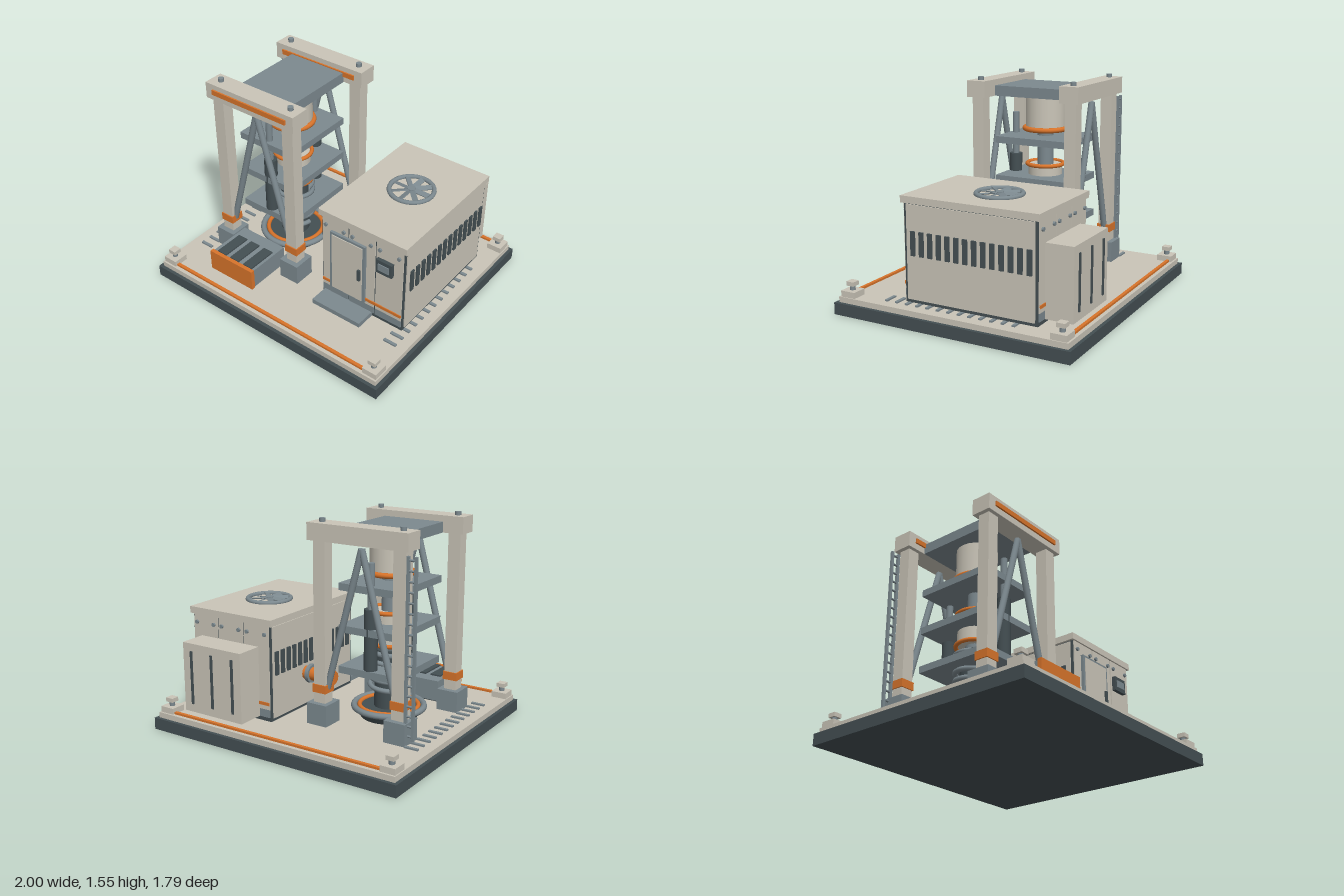
import * as THREE from 'three';

const mat = (name, color) => {
  const m = new THREE.MeshStandardMaterial({ color });
  m.name = name;
  return m;
};

export function createModel() {
  const cream = mat('cream', 0xcac5b8), grey = mat('grey', 0x7c898f);
  const dark = mat('dark', 0x444f53), orange = mat('orange', 0xd8742b);
  const root = new THREE.Group();
  root.name = 'drillingPlatform';

  const group = (name) => {
    const g = new THREE.Group();
    g.name = name;
    root.add(g);
    return g;
  };
  const add = (parent, name, geo, m, x, y, z) => {
    const mesh = new THREE.Mesh(geo, m);
    mesh.name = name;
    mesh.position.set(x, y, z);
    parent.add(mesh);
    return mesh;
  };
  // box given by its limits on each axis
  const box = (p, name, m, x0, x1, y0, y1, z0, z1) =>
    add(p, name, new THREE.BoxGeometry(x1 - x0, y1 - y0, z1 - z0), m, (x0 + x1) / 2, (y0 + y1) / 2, (z0 + z1) / 2);
  // upright cylinder from y0 to y1
  const post = (p, name, m, x, z, r, y0, y1, n = 20) =>
    add(p, name, new THREE.CylinderGeometry(r, r, y1 - y0, n), m, x, (y0 + y1) / 2, z);
  // horizontal ring
  const ring = (p, name, m, x, y, z, R, r) =>
    add(p, name, new THREE.TorusGeometry(R, r, 10, 36).rotateX(Math.PI / 2), m, x, y, z);
  // round bar between two points
  const bar = (p, name, m, a, b, r) => {
    const A = new THREE.Vector3(...a), B = new THREE.Vector3(...b);
    const mesh = add(p, name, new THREE.CylinderGeometry(r, r, A.distanceTo(B), 12), m, 0, 0, 0);
    mesh.position.lerpVectors(A, B, 0.5);
    mesh.quaternion.setFromUnitVectors(new THREE.Vector3(0, 1, 0), B.sub(A).normalize());
    return mesh;
  };

  // ---- base slab, deck, trim strips and corner lugs
  const base = group('base');
  box(base, 'baseSlab', dark, -1, 1, 0, 0.085, -0.895, 0.895);
  box(base, 'deck', cream, -0.975, 0.975, 0.085, 0.125, -0.87, 0.87);
  for (const s of [-1, 1]) {
    box(base, 'trimStrip', orange, -0.86, 0.86, 0.125, 0.14, s * 0.83 - 0.012, s * 0.83 + 0.012);
    for (const t of [-1, 1]) {
      const x = s * 0.912, z = t * 0.8;
      box(base, 'lugPad', cream, x - 0.056, x + 0.056, 0.125, 0.168, z - 0.056, z + 0.056);
      post(base, 'lugStem', grey, x, z, 0.02, 0.168, 0.2, 12);
      box(base, 'lugCap', cream, x - 0.03, x + 0.03, 0.2, 0.23, z - 0.03, z + 0.03);
    }
    for (let i = 0; i < 13; i++) {
      const z = -0.45 + i * 0.0815;
      box(base, 'deckGrip', grey, s * 0.85 - 0.05, s * 0.85 + 0.05, 0.125, 0.136, z - 0.011, z + 0.011);
    }
  }

  // ---- portal frame of the tower
  const cx = -0.41, tower = group('tower');
  for (const z of [-0.37, 0.37]) {
    for (const x of [cx - 0.308, cx + 0.308]) {
      box(tower, 'foot', grey, x - 0.08, x + 0.08, 0.125, 0.278, z - 0.083, z + 0.083);
      box(tower, 'column', cream, x - 0.046, x + 0.046, 0.278, 1.41, z - 0.044, z + 0.044);
      box(tower, 'collar', orange, x - 0.054, x + 0.054, 0.35, 0.408, z - 0.052, z + 0.052);
      post(tower, 'beamBolt', grey, x, z, 0.021, 1.525, 1.552, 12);
      bar(tower, 'brace', grey, [cx, 1.375, z], [cx + (x - cx) * 0.88, 0.38, z], 0.023);
    }
    box(tower, 'topBeam', cream, cx - 0.385, cx + 0.385, 1.408, 1.527, z - 0.073, z + 0.073);
    box(tower, 'beamStripe', orange, cx - 0.323, cx + 0.323, 1.454, 1.49, z + 0.073, z + 0.085);
  }
  box(tower, 'topPlatform', grey, cx - 0.232, cx + 0.232, 1.408, 1.483, -0.298, 0.298);
  for (const y of [1.085, 0.793, 0.502])
    box(tower, 'crosshead', grey, cx - 0.232, cx + 0.232, y - 0.025, y + 0.025, -0.296, 0.296);

  // ---- pistons, dampers and spring
  const ram = group('ram');
  post(ram, 'upperCylinder', cream, cx, 0, 0.147, 1.16, 1.41, 20);
  ring(ram, 'upperRing', orange, cx, 1.163, 0, 0.153, 0.019);
  post(ram, 'upperPiston', grey, cx, 0, 0.06, 0.88, 1.17);
  post(ram, 'lowerCylinder', cream, cx, 0, 0.127, 0.665, 0.893, 20);
  for (const y of [0.895, 0.665]) ring(ram, 'lowerRing', orange, cx, y, 0, 0.135, 0.015);
  post(ram, 'lowerPiston', grey, cx, 0, 0.07, 0.55, 0.68);
  post(ram, 'drillColumn', dark, cx, 0, 0.105, 0.14, 0.62);
  for (const z of [-0.25, 0.25]) {
    post(ram, 'damperSleeve', dark, cx, z, 0.047, 0.525, 0.952);
    post(ram, 'damperRod', grey, cx, z, 0.024, 0.95, 1.265, 12);
  }
  const coil = new THREE.Curve();
  coil.getPoint = (t, v = new THREE.Vector3()) => {
    const a = t * Math.PI * 10;
    return v.set(0.135 * Math.cos(a), 0.3 + 0.32 * t, 0.135 * Math.sin(a));
  };
  add(ram, 'spring', new THREE.TubeGeometry(coil, 160, 0.018, 8), grey, cx, 0, 0);

  // ---- bowl round the bore
  const bowl = group('bowl');
  add(bowl, 'bowlBody', new THREE.CylinderGeometry(0.245, 0.2, 0.075, 36), dark, cx, 0.1625, 0);
  ring(bowl, 'bowlRim', grey, cx, 0.2, 0, 0.247, 0.022);
  ring(bowl, 'bowlInnerRing', orange, cx, 0.203, 0, 0.208, 0.016);

  // ---- ladder on the outer rear column
  const ladder = group('ladder');
  for (const x of [-0.838, -0.782]) box(ladder, 'ladderRail', grey, x - 0.009, x + 0.009, 0.16, 1.38, -0.425, -0.405);
  for (let i = 0; i < 18; i++)
    bar(ladder, 'ladderRung', grey, [-0.838, 0.19 + i * 0.0685, -0.415], [-0.782, 0.19 + i * 0.0685, -0.415], 0.008);

  // ---- power unit in front of the tower
  const unit = group('powerUnit');
  box(unit, 'unitSkid', dark, cx - 0.17, cx + 0.16, 0.125, 0.155, 0.42, 0.66);
  box(unit, 'unitBody', grey, cx - 0.195, cx + 0.187, 0.155, 0.305, 0.36, 0.69);
  box(unit, 'unitFace', orange, cx - 0.205, cx + 0.192, 0.152, 0.312, 0.69, 0.72);
  for (const x of [-0.53, -0.41, -0.285]) box(unit, 'unitGrille', dark, x - 0.04, x + 0.04, 0.305, 0.316, 0.46, 0.688);

  // ---- pipe between tower and cabin
  const pipe = group('pipe');
  bar(pipe, 'pipeTube', orange, [-0.08, 0.39, -0.2], [0.18, 0.39, -0.2], 0.05);
  for (const x of [-0.027, 0.118]) bar(pipe, 'pipeFlange', grey, [x - 0.014, 0.39, -0.2], [x + 0.014, 0.39, -0.2], 0.069);

  // ---- cabin shell
  const hx = 0.512, hz = -0.103, cabin = group('cabin');
  box(cabin, 'cabinCore', dark, hx - 0.34, hx + 0.34, 0.135, 0.82, hz - 0.497, hz + 0.497);
  box(cabin, 'roof', cream, hx - 0.359, hx + 0.359, 0.82, 0.868, hz - 0.515, hz + 0.515);
  for (const s of [-1, 1]) {
    // side panel with vent slots
    const sx = hx + s * 0.343;
    box(cabin, 'sidePanel', cream, sx - 0.005, sx + 0.005, 0.158, 0.812, hz - 0.478, hz + 0.478);
    for (let i = 0; i < 14; i++) {
      const z = 0.322 - i * 0.0668;
      box(cabin, 'ventSlot', dark, sx + s * 0.01 - 0.007, sx + s * 0.01 + 0.007, 0.466, 0.634, z - 0.017, z + 0.017);
    }
    // three panels, bolts and bands on front and back
    const wall = hz + s * 0.5;
    for (const x of [-0.225, 0, 0.225]) {
      box(cabin, 'endPanel', cream, hx + x - 0.107, hx + x + 0.107, 0.222, 0.818, wall - 0.005, wall + 0.005);
      box(cabin, 'kickPlate', grey, hx + x - 0.107, hx + x + 0.107, 0.165, 0.222, wall - 0.005, wall + 0.005);
      for (const d of [-0.076, 0.076])
        bar(cabin, 'panelBolt', grey, [hx + x + d, 0.76, wall], [hx + x + d, 0.76, wall + s * 0.018], 0.014);
    }
    box(cabin, 'cabinStripe', orange, hx - 0.332, hx + 0.332, 0.254, 0.276, wall + s * 0.008 - 0.004, wall + s * 0.008 + 0.004);
  }

  // ---- door, step and control screen
  const door = group('door');
  box(door, 'doorFrame', grey, 0.256, 0.55, 0.237, 0.73, 0.4, 0.422);
  box(door, 'doorLeaf', cream, 0.276, 0.53, 0.25, 0.712, 0.42, 0.428);
  box(door, 'doorHandle', dark, 0.5, 0.522, 0.435, 0.525, 0.428, 0.442);
  box(door, 'doorStep', grey, 0.195, 0.603, 0.135, 0.17, 0.39, 0.548);
  box(door, 'screenCase', dark, 0.645, 0.773, 0.585, 0.692, 0.4, 0.43);
  box(door, 'screen', grey, 0.665, 0.753, 0.612, 0.665, 0.43, 0.436);

  // ---- roof fan
  const fan = group('roofFan'), fx = 0.53, fz = -0.145;
  ring(fan, 'fanRing', grey, fx, 0.874, fz, 0.156, 0.017);
  post(fan, 'fanHub', grey, fx, fz, 0.03, 0.868, 0.888, 16);
  for (let i = 0; i < 8; i++) {
    const blade = new THREE.BoxGeometry(0.13, 0.008, 0.038).rotateX(0.35).translate(0.085, 0, 0).rotateY(i * Math.PI / 4);
    add(fan, 'fanBlade', blade, grey, fx, 0.877, fz);
  }

  // ---- cooling unit on the back wall
  const cooler = group('cooler');
  box(cooler, 'coolerBox', cream, 0.268, 0.775, 0.165, 0.665, -0.807, -0.6);
  for (const x of [0.34, 0.52, 0.7]) box(cooler, 'coolerSlit', dark, x - 0.009, x + 0.009, 0.225, 0.61, -0.816, -0.807);

  return root;
}
